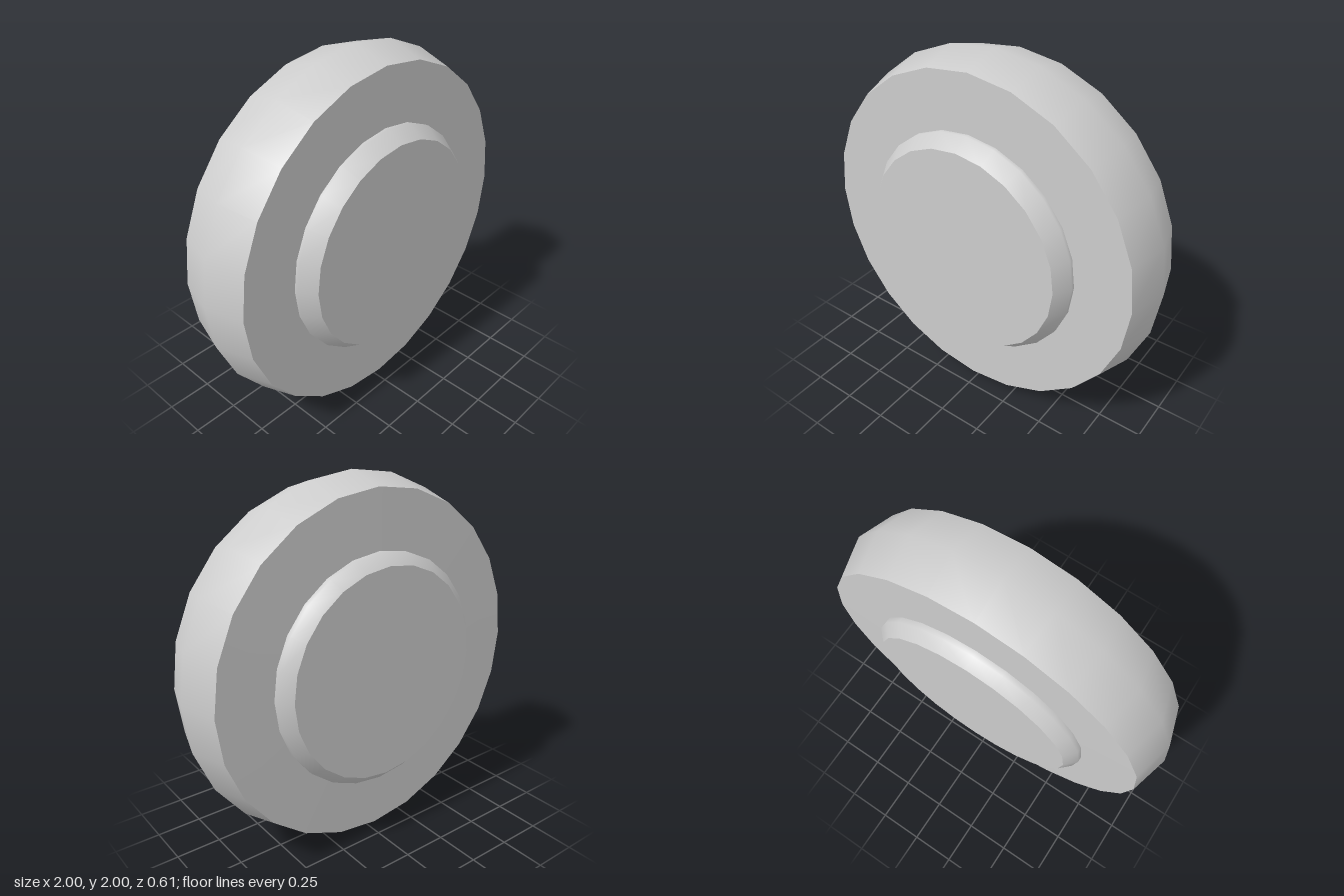
import * as THREE from 'three';

const SIDES = 24;

export function createModel() {
  const grey = new THREE.MeshStandardMaterial({ color: 0xcccccc });
  grey.name = 'plain grey';

  const wheel = new THREE.Group();
  wheel.name = 'wheel';

  // Revolves a profile of [radius, z] points, listed back to front, round the axle
  const ring = (name, profile) => {
    const points = profile.map(([r, z]) => new THREE.Vector2(r, z));
    const geometry = new THREE.LatheGeometry(points, SIDES);
    geometry.rotateX(Math.PI / 2);
    // the lathe's y becomes z, so the wheel faces the front
    const mesh = new THREE.Mesh(geometry, grey);
    mesh.name = name;
    wheel.add(mesh);
  };

  // Tyre: crowned tread between two flat sidewalls
  ring('tread', [[0.94, -0.215], [1, 0], [0.94, 0.205]]);
  ring('backSidewall', [[0.62, -0.22], [0.94, -0.215]]);
  ring('frontSidewall', [[0.94, 0.205], [0.62, 0.205]]);

  // Hub: bevelled boss with a flat cap on each side
  ring('backHubCap', [[0, -0.307], [0.573, -0.307]]);
  ring('backHubRim', [[0.573, -0.307], [0.63, -0.25], [0.63, -0.21]]);
  ring('frontHubRim', [[0.63, 0.2], [0.63, 0.225], [0.573, 0.307]]);
  ring('frontHubCap', [[0.573, 0.307], [0, 0.307]]);

  wheel.position.y = 1;
  const model = new THREE.Group();
  model.name = 'wheelModel';
  model.add(wheel);
  return model;
}
